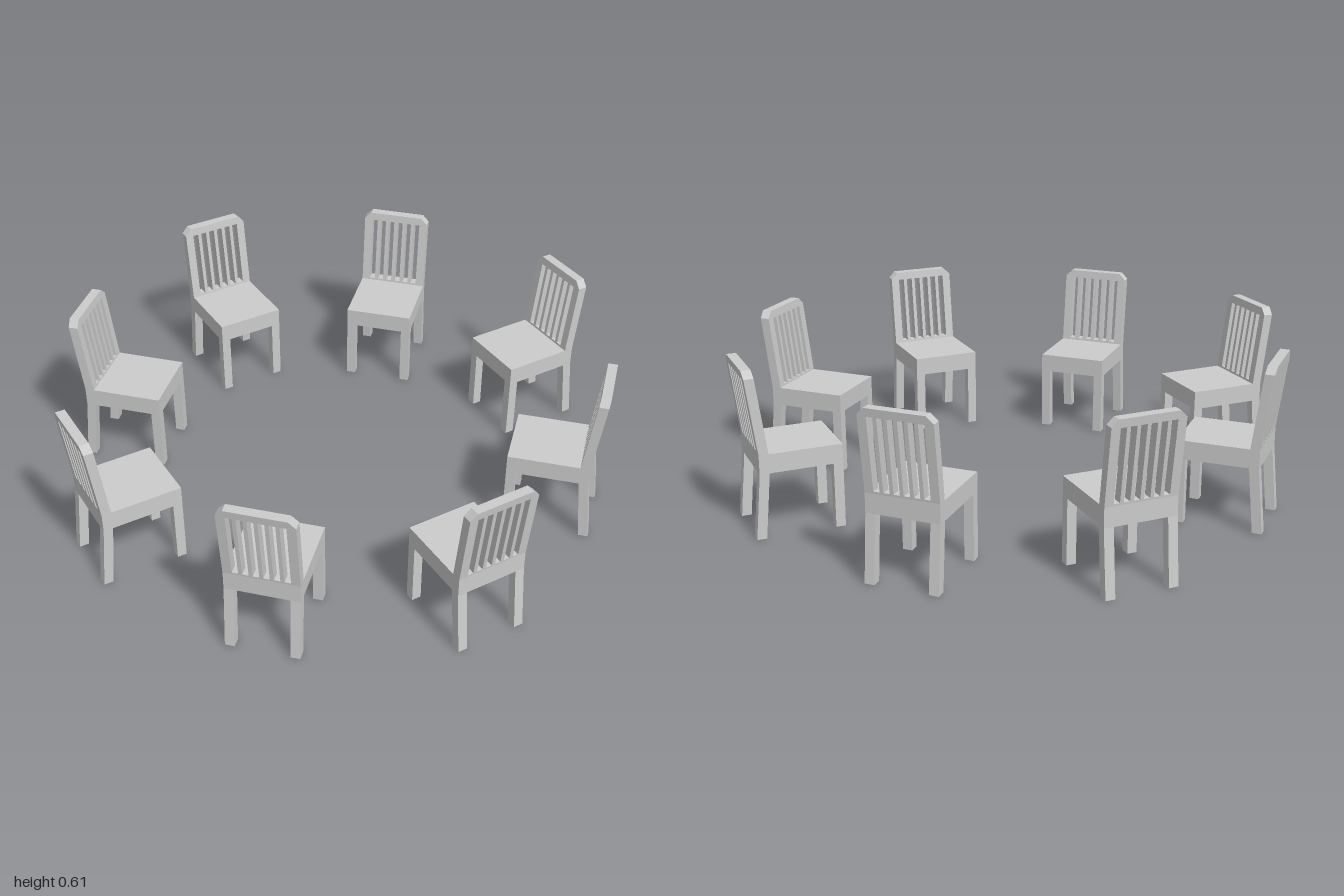
import * as THREE from 'three';

const material = new THREE.MeshStandardMaterial({ color: 0xcccccc, flatShading: true });
const HALF = 0.132;   // half chair width
const POST = 0.035;   // thickness of legs and posts
const SEAT_LOW = 0.24, SEAT_TOP = 0.31, TOP = 0.61;

function addPart(parent, name, geometry) {
  const mesh = new THREE.Mesh(geometry, material);
  mesh.name = name;
  parent.add(mesh);
}

// Box given by its minimum and maximum corners
function box(x0, x1, y0, y1, z0, z1) {
  return new THREE.BoxGeometry(x1 - x0, y1 - y0, z1 - z0)
    .translate((x0 + x1) / 2, (y0 + y1) / 2, (z0 + z1) / 2);
}

// Leans a geometry along z in proportion to its distance from height y0
function lean(geometry, y0, slope) {
  const p = geometry.attributes.position;
  for (let i = 0; i < p.count; i++) p.setZ(i, p.getZ(i) + (p.getY(i) - y0) * slope);
  geometry.computeVertexNormals();
  return geometry;
}

// Back panel: chamfered outline with slots that leave five slats
function backGeometry() {
  const cut = 0.025, slots = 6, slat = 0.0135;
  const inner = HALF - POST + 0.003;
  const gap = (2 * inner - (slots - 1) * slat) / slots;
  const shape = new THREE.Shape([
    [-HALF, SEAT_TOP], [HALF, SEAT_TOP], [HALF, TOP - cut],
    [HALF - cut, TOP], [cut - HALF, TOP], [-HALF, TOP - cut],
  ].map(([x, y]) => new THREE.Vector2(x, y)));
  for (let i = 0; i < slots; i++) {
    const x = -inner + i * (gap + slat);
    shape.holes.push(new THREE.Path([
      [x, SEAT_TOP + 0.008], [x, TOP - 0.03], [x + gap, TOP - 0.03], [x + gap, SEAT_TOP + 0.008],
    ].map(([px, py]) => new THREE.Vector2(px, py))));
  }
  const geometry = new THREE.ExtrudeGeometry(shape, { depth: POST, bevelEnabled: false });
  return lean(geometry.translate(0, 0, 0.927), SEAT_TOP, 0.127);
}

// One chair facing -z, with its back towards +z
function createChair() {
  const chair = new THREE.Group();
  addPart(chair, 'seat', box(-HALF, HALF, SEAT_LOW, SEAT_TOP, 0.665, 0.962));
  addPart(chair, 'slattedBack', backGeometry());
  for (const [side, x0] of [['left', HALF - POST], ['right', -HALF]]) {
    addPart(chair, side + 'FrontLeg', box(x0, x0 + POST, 0, SEAT_LOW, 0.665, 0.665 + POST));
    addPart(chair, side + 'RearLeg',
      lean(box(x0, x0 + POST, 0, SEAT_LOW, 0.927, 0.962), SEAT_LOW, -0.095));
  }
  return chair;
}

export function createModel() {
  const model = new THREE.Group();
  model.name = 'chairRing';
  // Eight chairs facing the centre; the diagonal ones stand slightly further out
  for (let i = 0; i < 8; i++) {
    const chair = createChair();
    const angle = i * Math.PI / 4;
    const offset = i % 2 ? 0.043 : 0;
    chair.name = 'chair' + (i + 1);
    chair.rotation.y = angle;
    chair.position.set(Math.sin(angle) * offset, 0, Math.cos(angle) * offset);
    model.add(chair);
  }
  return model;
}
